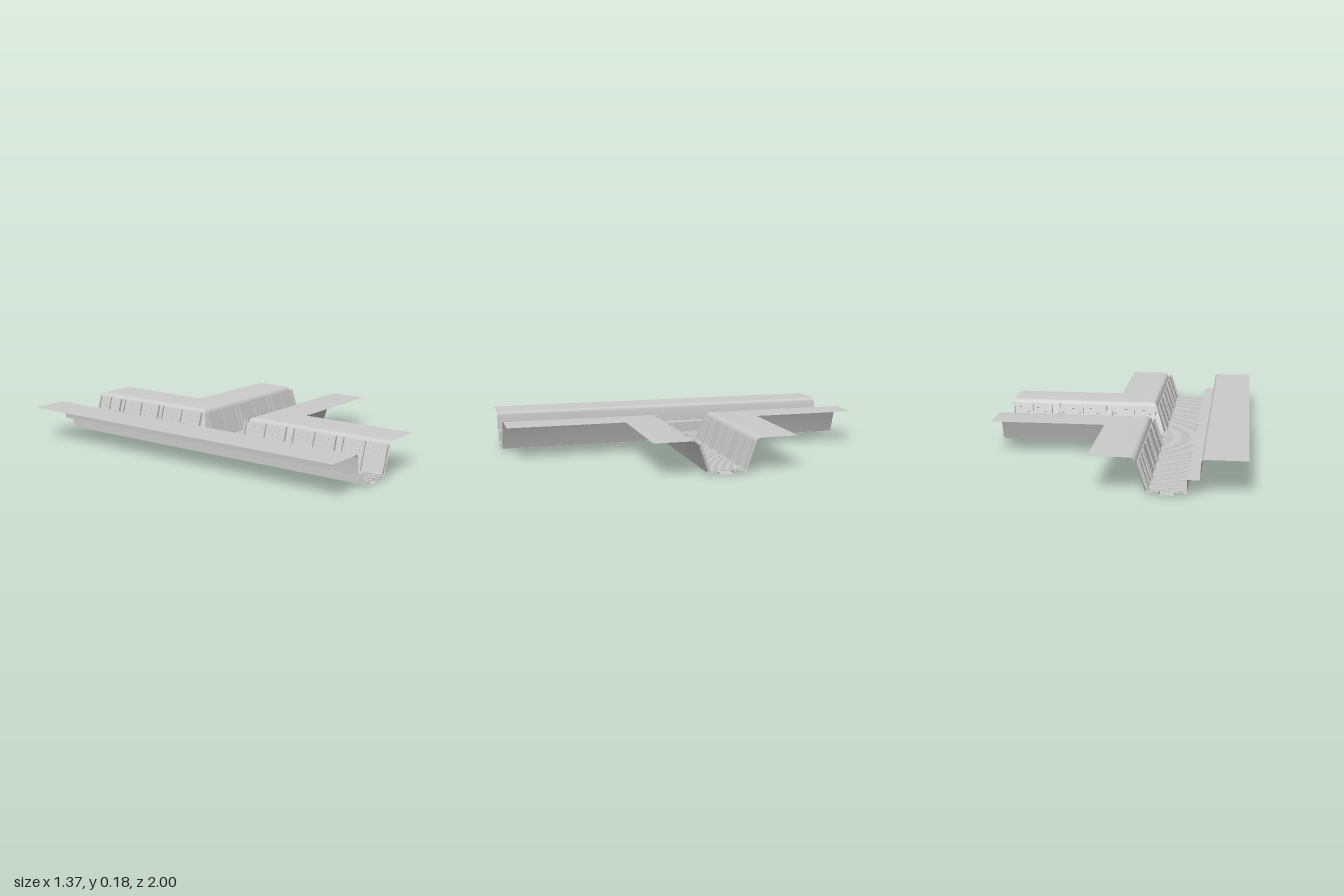
import * as THREE from 'three';
import { toCreasedNormals } from 'three/addons/utils/BufferGeometryUtils.js';

const earth = new THREE.MeshStandardMaterial({ color: 0xcccccc, side: THREE.DoubleSide });
const wood = new THREE.MeshStandardMaterial({ color: 0xcccccc });

const END = 0.685;    // open end of the side trench
const FOOT_X = -0.205; // foot of the main trench's right wall
const FLOOR = 0.015;

// Small seeded generator for uneven boards
let seed = 7;
const jitter = (a) => {
  seed = (seed * 16807) % 2147483647;
  return (seed / 2147483647 - 0.5) * 2 * a;
};

// Skin a grid of rows of [x, y, z] points
function skin(name, rows, flip = false) {
  const pos = [];
  for (let i = 0; i < rows.length - 1; i++) {
    for (let j = 0; j < rows[i].length - 1; j++) {
      const a = rows[i][j], b = rows[i][j + 1], c = rows[i + 1][j + 1], d = rows[i + 1][j];
      const tri = flip ? [a, c, b, a, d, c] : [a, b, c, a, c, d];
      tri.forEach((p) => pos.push(...p));
    }
  }
  let geo = new THREE.BufferGeometry();
  geo.setAttribute('position', new THREE.Float32BufferAttribute(pos, 3));
  geo = toCreasedNormals(geo, 0.6);
  const mesh = new THREE.Mesh(geo, earth);
  mesh.name = name;
  return mesh;
}

function box(parent, name, w, h, d, x, y, z) {
  const mesh = new THREE.Mesh(new THREE.BoxGeometry(w, h, d), wood);
  mesh.name = name;
  mesh.position.set(x, y, z);
  parent.add(mesh);
  return mesh;
}

// Plank revetment leaning on a wall: local x along it, y up it, z into the trench
function revetment(name, x, z, turn, panels) {
  const wall = new THREE.Group();
  wall.name = name;
  wall.position.set(x, FLOOR, z);
  wall.rotation.order = 'YXZ';
  wall.rotation.set(-Math.atan2(0.05, 0.15), turn, 0);
  for (const [a, b] of panels) {
    const mid = (a + b) / 2, len = b - a;
    for (let i = 0; i < 6; i++) {
      box(wall, 'wallPlank', len + jitter(0.003), 0.0235, 0.005, mid, 0.014 + i * 0.025, 0.009 + jitter(0.001));
    }
    for (const px of [a + 0.008, mid, b - 0.008]) {
      box(wall, 'wallPost', 0.012, 0.155, 0.009, px, 0.077, 0.016);
    }
  }
  return wall;
}

// Slatted walkway along local x
function walkway(name, from, to, width) {
  const walk = new THREE.Group();
  walk.name = name;
  const count = Math.round((to - from) / 0.0215), pitch = (to - from) / count;
  for (let i = 0; i < count; i++) {
    const slat = box(walk, 'slat', 0.0155, 0.003, width + jitter(0.003),
      from + (i + 0.5) * pitch, 0.0215, jitter(0.002));
    slat.rotation.y = jitter(0.02);
  }
  for (const s of [-1, 1]) {
    box(walk, 'stringer', to - from, 0.005, 0.01, (from + to) / 2, 0.0175, s * width * 0.36);
  }
  return walk;
}

export function createModel() {
  const model = new THREE.Group();
  model.name = 'trenchJunction';

  // Main trench: drain, floor, step and far bank in one straight sweep
  const left = [[-0.27, 0], [-0.34, 0], [-0.34, FLOOR], [-0.4, FLOOR], [-0.4, 0.08], [-0.46, 0.08],
    [-0.464, 0.16], [-0.467, 0.172], [-0.475, 0.18], [-0.685, 0.18]];
  model.add(skin('steppedBank', left.map(([x, y]) => [[x, y, -1], [x, y, 1]]), true));

  // Corner banks: drain side, floor, sloped wall, rounded lip and level top around an L
  const corner = [[-0.065, 0], [-0.065, FLOOR], [0, FLOOR], [0.05, 0.16], [0.056, 0.171],
    [0.066, 0.178], [0.08, 0.18], [0.277, 0.18]];
  for (const [side, footZ, name] of [[1, 0.075, 'frontCornerBank'], [-1, 0.135, 'backCornerBank']]) {
    const rows = corner.map(([d, y]) => [
      [FOOT_X + d, y, side], [FOOT_X + d, y, side * (footZ + d)], [END, y, side * (footZ + d)]]);
    model.add(skin(name, rows, side < 0));
  }

  // Drain bed of the side trench
  model.add(skin('sideDrainBed', [[[-0.27, 0, -0.07], [-0.27, 0, 0.01]], [[END, 0, -0.07], [END, 0, 0.01]]]));

  // Plank walls
  const sidePanels = [[-0.155, 0.11], [0.13, 0.42], [0.45, END]];
  const mirrored = sidePanels.map(([a, b]) => [-b, -a]);
  model.add(revetment('backPlankWall', 0, -0.135, 0, sidePanels));
  model.add(revetment('frontPlankWall', 0, 0.075, Math.PI, mirrored));
  model.add(revetment('mainPlankWall', FOOT_X, 0, -Math.PI / 2, [
    [-1, -0.82], [-0.8, -0.515], [-0.495, -0.195], [0.11, 0.39], [0.425, 0.7], [0.73, 1]]));

  // Walkways
  const mainWalk = walkway('mainWalkway', -1, 1, 0.17);
  mainWalk.rotation.y = -Math.PI / 2;
  mainWalk.position.x = -0.305;
  const sideWalk = walkway('sideWalkway', -0.205, END, 0.165);
  sideWalk.position.z = -0.03;
  model.add(mainWalk, sideWalk);

  return model;
}
